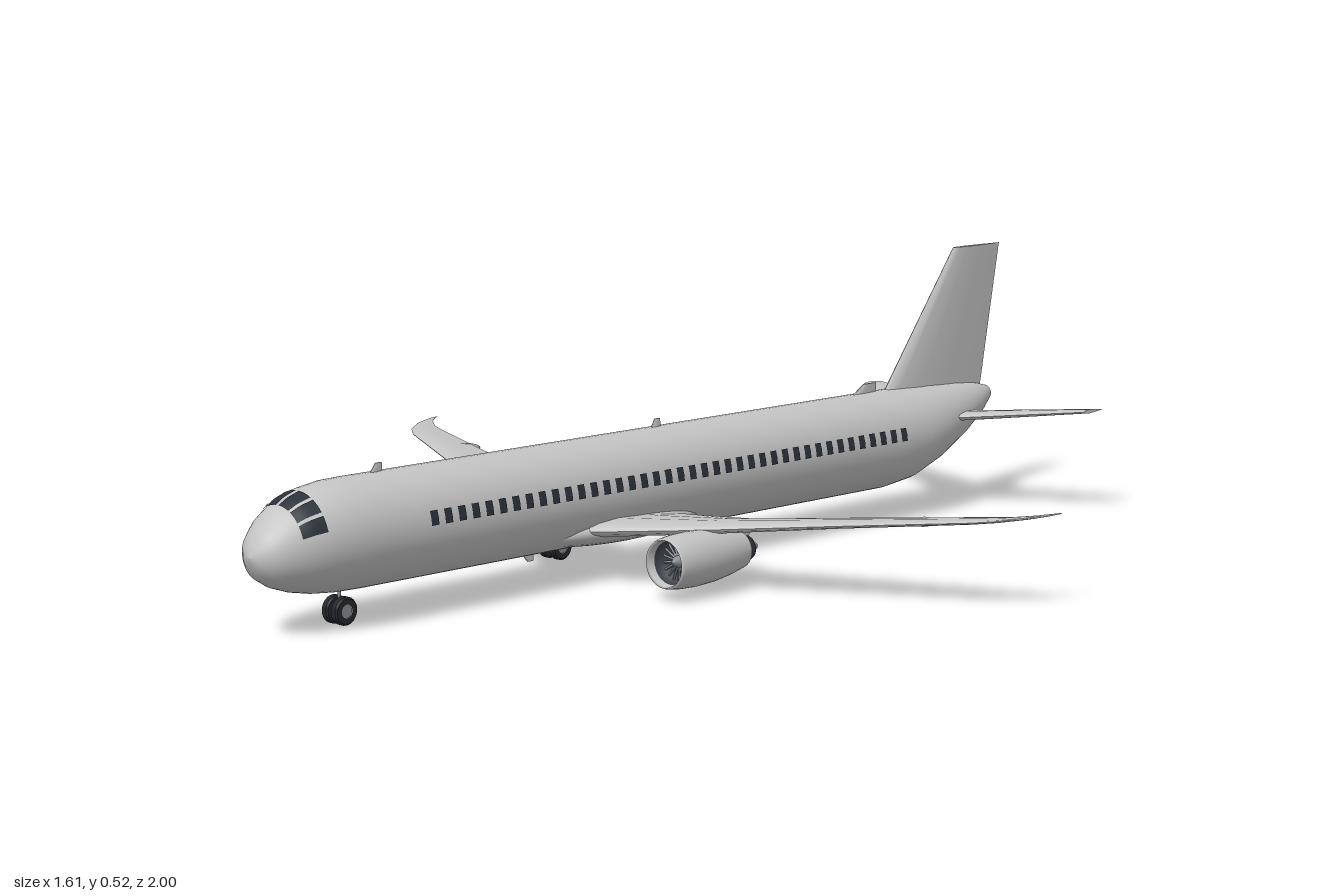
import * as THREE from 'three';
import { mergeGeometries, toCreasedNormals } from 'three/addons/utils/BufferGeometryUtils.js';

const mat = (name, color) => new THREE.MeshStandardMaterial({ name, color });

// Closed skin through equal-length rings of [x, y, z], turned outward by its signed volume
function loft(rings, crease) {
  const n = rings[0].length, pos = rings.flat(2), idx = [];
  for (let r = 0; r < rings.length - 1; r++)
    for (let i = 0; i < n; i++) {
      const a = r * n + i, b = r * n + (i + 1) % n;
      idx.push(a, b, a + n, b, b + n, a + n);
    }
  for (const [r, flip] of [[0, true], [rings.length - 1, false]]) {
    const c = pos.length / 3;
    pos.push(...[0, 1, 2].map(k => rings[r].reduce((s, p) => s + p[k], 0) / n));
    for (let i = 0; i < n; i++) {
      const a = r * n + i, b = r * n + (i + 1) % n;
      idx.push(...(flip ? [c, b, a] : [c, a, b]));
    }
  }
  let volume = 0;
  const v = i => new THREE.Vector3().fromArray(pos, idx[i] * 3);
  for (let i = 0; i < idx.length; i += 3) volume += v(i).dot(v(i + 1).cross(v(i + 2)));
  if (volume < 0) idx.reverse();
  const g = new THREE.BufferGeometry();
  g.setAttribute('position', new THREE.Float32BufferAttribute(pos, 3));
  g.setIndex(idx);
  g.computeVertexNormals();
  return crease ? toCreasedNormals(g, crease) : g;
}

// Aerofoil outline: [chord fraction, half-thickness fraction], up one side and back the other
const half = [[0.02, 0.4], [0.1, 0.75], [0.3, 1], [0.6, 0.75], [1, 0.06]];
const foil = [[0, 0], ...half, ...half.slice().reverse().map(([u, t]) => [u, -t])];
const lerp = THREE.MathUtils.lerp;

// Horizontal surface from stations [x, zLeading, zTrailing, y, thickness]
const wingLoft = (stations, side) => loft(stations.map(([x, l, t, y, h]) =>
  foil.map(([u, f]) => [side * x, y + f * h / 2, lerp(l, t, u)])), 0.7);
// Upright surface from stations [y, zLeading, zTrailing, thickness]
const finLoft = stations => loft(stations.map(([y, l, t, h]) =>
  foil.map(([u, f]) => [f * h / 2, y, lerp(l, t, u)])), 0.7);

// Fuselage stations: [z, top, bottom, half-width]
const body = [
  [1, 0.143, 0.141, 0.001], [0.995, 0.163, 0.122, 0.022], [0.98, 0.188, 0.1, 0.043],
  [0.955, 0.212, 0.085, 0.06], [0.92, 0.233, 0.073, 0.075], [0.88, 0.246, 0.065, 0.085],
  [0.83, 0.253, 0.06, 0.091], [0.78, 0.254, 0.059, 0.093], [-0.6, 0.254, 0.059, 0.093],
  [-0.68, 0.254, 0.068, 0.091], [-0.76, 0.252, 0.094, 0.08], [-0.85, 0.247, 0.134, 0.058],
  [-0.92, 0.24, 0.172, 0.035], [-0.96, 0.231, 0.199, 0.017], [-0.97, 0.217, 0.213, 0.002]];

// Point on the fuselage skin; angle is measured from the crown toward +x
function skin(z, a, off = 0) {
  let i = 0;
  while (i < body.length - 2 && z < body[i + 1][0]) i++;
  const p = body[i], q = body[i + 1], f = (p[0] - z) / (p[0] - q[0]);
  const [top, bot, w] = [1, 2, 3].map(k => lerp(p[k], q[k], f));
  return [Math.sin(a) * (w + off), (top + bot) / 2 + Math.cos(a) * ((top - bot) / 2 + off), z];
}

// Thin pane lying on the skin
function pane(z0, z1, a0, a1, n) {
  const pos = [], idx = [];
  for (let i = 0; i <= n; i++)
    for (let j = 0; j <= n; j++) pos.push(...skin(lerp(z0, z1, i / n), lerp(a0, a1, j / n), 0.002));
  for (let i = 0; i < n; i++)
    for (let j = 0; j < n; j++) {
      const a = i * (n + 1) + j, b = a + n + 1;
      idx.push(a, b, a + 1, b, b + 1, a + 1);
    }
  const g = new THREE.BufferGeometry();
  g.setAttribute('position', new THREE.Float32BufferAttribute(pos, 3));
  g.setIndex(idx);
  g.computeVertexNormals();
  return g;
}

export function createModel() {
  const paint = mat('light grey paint', 0xc4c4c4);
  const glass = mat('dark glass', 0x2b313a);
  const rubber = mat('black rubber', 0x24272d);
  const metal = mat('grey metal', 0x878b90);
  const dark = mat('dark engine metal', 0x3a3f47);
  const model = new THREE.Group();
  model.name = 'airliner';
  const add = (name, geo, m, x = 0, y = 0, z = 0, parent = model) => {
    const mesh = new THREE.Mesh(geo, m);
    mesh.name = name;
    mesh.position.set(x, y, z);
    parent.add(mesh);
    return mesh;
  };
  // Turned part lying along z, from [radius, z] points running forward outside
  const turned = pts => new THREE.LatheGeometry(pts.map(p => new THREE.Vector2(...p)), 32).rotateX(Math.PI / 2);

  // Fuselage and wing-root fairing
  add('fuselage', loft(body.map(([z]) => Array.from({ length: 48 }, (_, i) => skin(z, i * Math.PI / 24)))), paint);
  add('bellyFairing', new THREE.SphereGeometry(1, 32, 16).scale(0.1, 0.036, 0.24), paint, 0, 0.094, 0.16);

  // Cabin and cockpit windows
  const cabin = [], cockpit = [];
  for (const s of [-1, 1]) {
    const side = (list, z0, z1, a, b, n) => list.push(pane(z0, z1, Math.min(s * a, s * b), Math.max(s * a, s * b), n));
    for (let i = 0; i < 40; i++) {
      const z = 0.667 - i * 0.0322;
      side(cabin, z - 0.0085, z + 0.0085, 1.22, 1.48, 2);
    }
    for (const [a, b] of [[0.05, 0.42], [0.5, 0.84], [0.92, 1.25]]) side(cockpit, 0.894, 0.938, a, b, 6);
  }
  add('cabinWindows', mergeGeometries(cabin), glass);
  add('cockpitWindows', mergeGeometries(cockpit), glass);

  // Tail fin and aerials
  add('tailFin', finLoft([[0.2, -0.597, -0.936, 0.032], [0.25, -0.635, -0.946, 0.03], [0.525, -0.85, -1, 0.014]]), paint);
  add('rearAerial', finLoft([[0.248, -0.53, -0.61, 0.008], [0.272, -0.57, -0.61, 0.005]]), paint);
  add('frontAerial', finLoft([[0.25, 0.735, 0.705, 0.006], [0.269, 0.72, 0.705, 0.004]]), paint);
  add('middleAerial', finLoft([[0.25, 0.04, 0.012, 0.006], [0.269, 0.03, 0.015, 0.004]]), paint);
  add('bellyAerial', finLoft([[0.062, 0.375, 0.345, 0.006], [0.045, 0.36, 0.345, 0.004]]), paint);

  // Shared engine and wheel shapes, with z measured from the model's centre
  const nacelle = turned([[0.034, 0.098], [0.041, 0.13], [0.048, 0.18], [0.05, 0.225], [0.0485, 0.265],
    [0.046, 0.285], [0.0435, 0.292], [0.041, 0.288], [0.039, 0.275]]);
  const duct = turned([[0.039, 0.275], [0.038, 0.25], [0, 0.25]]);
  const exhaust = turned([[0, 0.098], [0.034, 0.098], [0.034, 0.099]]);
  const core = turned([[0, 0.074], [0.022, 0.074], [0.028, 0.1]]);
  const plug = turned([[0, 0.048], [0.006, 0.052], [0.015, 0.076]]);
  const spinner = turned([[0.012, 0.25], [0.009, 0.262], [0, 0.272]]);
  const blades = mergeGeometries(Array.from({ length: 18 }, (_, i) =>
    new THREE.BoxGeometry(0.0035, 0.026, 0.003).rotateY(0.5).translate(0, 0.024, 0.253).rotateZ(i * Math.PI / 9)));
  const tyre = toCreasedNormals(new THREE.LatheGeometry([[0.012, -0.008], [0.022, -0.008], [0.025, -0.005],
    [0.025, 0.005], [0.022, 0.008], [0.012, 0.008]].map(p => new THREE.Vector2(...p)), 24), 0.6).rotateZ(Math.PI / 2);
  const hub = new THREE.CylinderGeometry(0.0125, 0.0125, 0.013, 20).rotateZ(Math.PI / 2);

  // Pair of wheels on an axle and leg
  function gear(name, x, z, spread, legTop) {
    const g = new THREE.Group();
    g.name = name;
    g.position.set(x, 0.025, z);
    for (const s of [-1, 1]) {
      add('tyre', tyre, rubber, s * spread, 0, 0, g);
      add('wheelHub', hub, metal, s * spread, 0, 0, g);
    }
    add('axle', new THREE.CylinderGeometry(0.004, 0.004, spread * 2, 10).rotateZ(Math.PI / 2), metal, 0, 0, 0, g);
    add('leg', new THREE.CylinderGeometry(0.003, 0.003, legTop - 0.025, 10), metal, 0, (legTop - 0.025) / 2, 0, g);
    model.add(g);
  }
  gear('noseGear', 0, 0.805, 0.012, 0.075);

  for (const s of [-1, 1]) {
    const label = s > 0 ? 'left' : 'right';
    // Wing with a raked, curved tip
    add(label + 'Wing', wingLoft([[0, 0.322, 0.033, 0.096, 0.036], [0.1, 0.276, 0.038, 0.101, 0.032],
      [0.265, 0.2, 0.045, 0.115, 0.024], [0.5, 0.091, -0.025, 0.138, 0.015], [0.715, -0.008, -0.086, 0.158, 0.01],
      [0.75, -0.036, -0.1, 0.161, 0.008], [0.78, -0.08, -0.122, 0.164, 0.006], [0.797, -0.122, -0.142, 0.166, 0.004],
      [0.805, -0.152, -0.158, 0.167, 0.002]], s), paint);

    // Tailplane
    add(label + 'Tailplane', wingLoft([[0, -0.74, -0.9, 0.183, 0.022], [0.08, -0.79, -0.922, 0.189, 0.018],
      [0.29, -0.915, -0.975, 0.208, 0.008]], s), paint);

    // Flap track fairings
    for (const [x, y, z, l] of [[0.195, 0.094, 0.025, 0.045], [0.33, 0.112, 0.025, 0.045],
      [0.465, 0.127, -0.01, 0.04], [0.59, 0.14, -0.042, 0.036]])
      add(label + 'FlapFairing', new THREE.SphereGeometry(1, 12, 10).scale(0.0045, 0.009, l), paint, s * x, y, z).rotation.x = -0.12;

    // Engine on its pylon
    const engine = new THREE.Group();
    engine.name = label + 'Engine';
    engine.position.set(s * 0.275, 0.068, 0);
    add('nacelle', nacelle, paint, 0, 0, 0, engine);
    add('intakeDuct', duct, dark, 0, 0, 0, engine);
    add('fanBlades', blades, metal, 0, 0, 0, engine);
    add('spinner', spinner, metal, 0, 0, 0, engine);
    add('exhaustRing', exhaust, dark, 0, 0, 0, engine);
    add('coreNozzle', core, dark, 0, 0, 0, engine);
    add('exhaustPlug', plug, metal, 0, 0, 0, engine);
    add('pylon', finLoft([[0.02, 0.21, 0.07, 0.014], [0.048, 0.2, 0.06, 0.014]]), paint, 0, 0, 0, engine);
    model.add(engine);

    gear(label + 'MainGear', s * 0.149, 0.145, 0.0145, 0.1);
  }
  return model;
}
